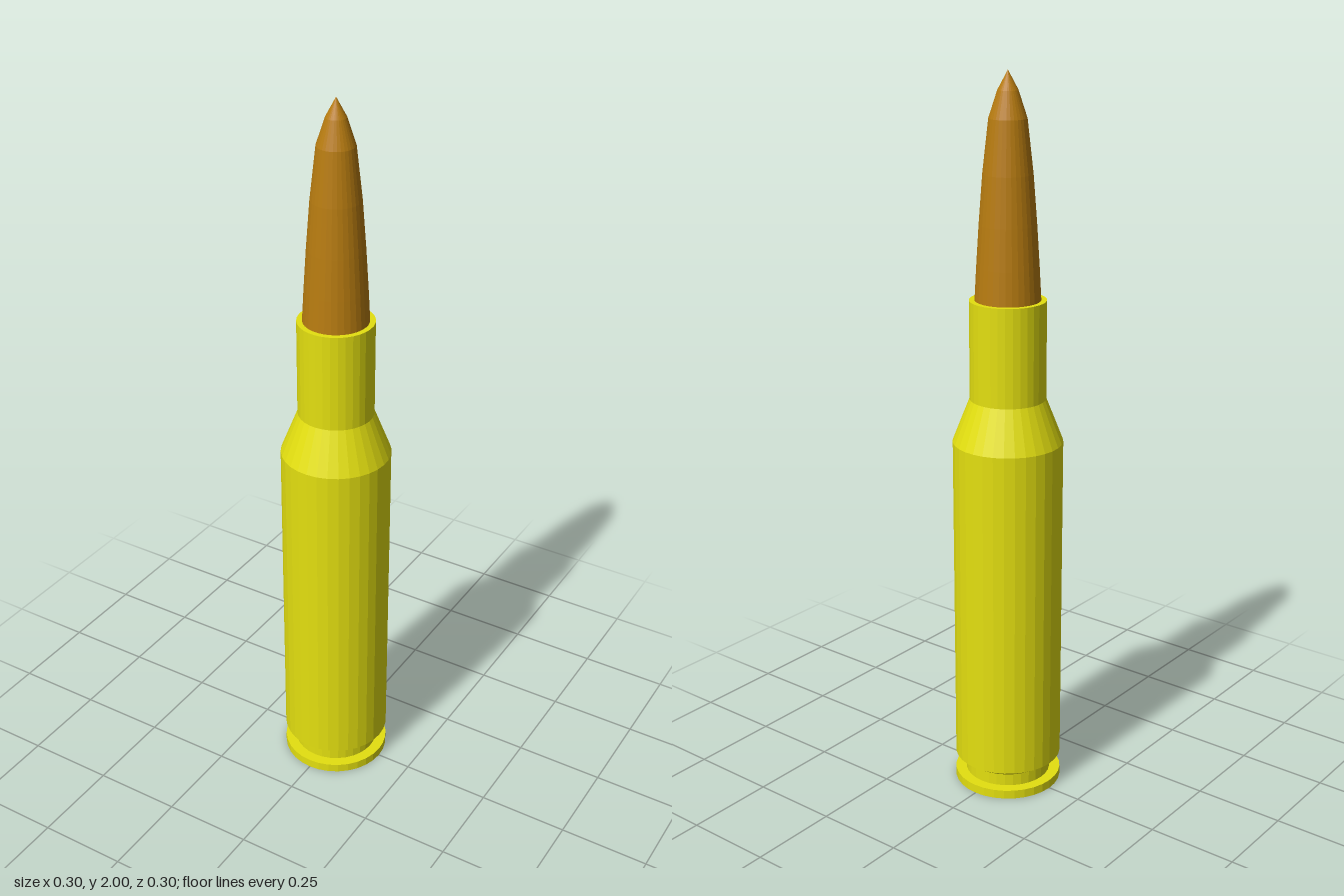
import * as THREE from 'three';

const SIDES = 32;

// Solid of revolution from [radius, height] pairs listed from bottom to top
function turned(name, profile, color) {
  const points = profile.map(([r, y]) => new THREE.Vector2(r, y));
  const material = new THREE.MeshStandardMaterial({ color, flatShading: true });
  const mesh = new THREE.Mesh(new THREE.LatheGeometry(points, SIDES), material);
  mesh.name = name;
  return mesh;
}

export function createModel() {
  const group = new THREE.Group();
  group.name = 'cartridge';

  // Brass case: base, rim, extractor groove, body, shoulder, neck and lip
  group.add(turned('case', [
    [0, 0], [0.15, 0], [0.15, 0.025],
    [0.12, 0.025], [0.12, 0.06],
    [0.15, 0.08], [0.15, 1.02],
    [0.103, 1.14], [0.103, 1.41],
    [0.088, 1.41], [0.088, 1.38],
  ], 0xe4e010));

  // Pointed copper bullet seated in the neck
  group.add(turned('bullet', [
    [0, 1.36], [0.088, 1.36], [0.088, 1.41],
    [0.083, 1.5], [0.076, 1.61], [0.066, 1.74],
    [0.05, 1.88], [0.027, 1.95], [0, 2],
  ], 0xb87c10));

  return group;
}
